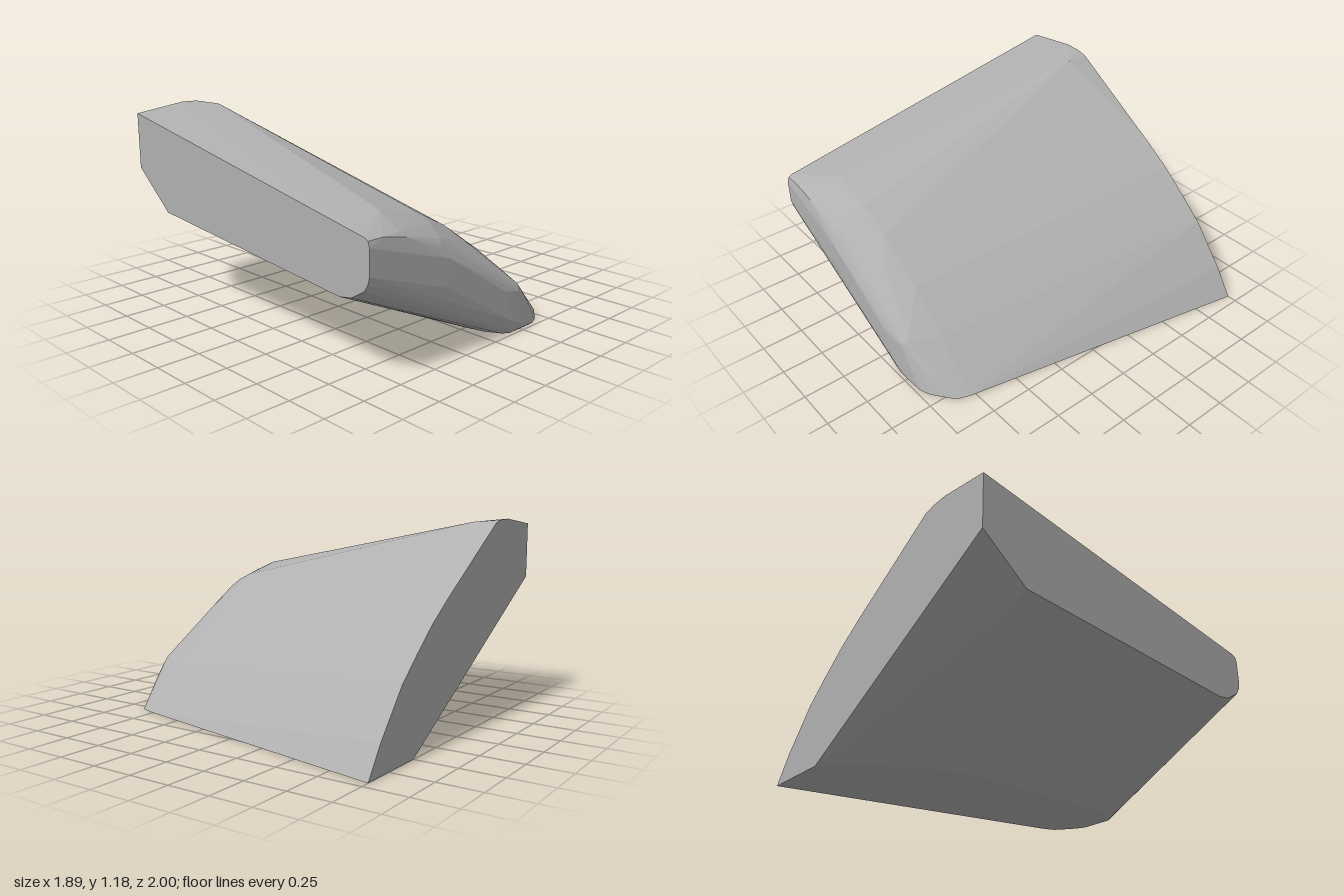
import * as THREE from 'three';
import { ConvexGeometry } from 'three/addons/geometries/ConvexGeometry.js';

// Each outline is a list of [x, y] corners lying in one z plane.
const outline = (z, corners) => corners.map(([x, y]) => new THREE.Vector3(x, y, z));

export function createModel() {
  const stone = new THREE.MeshStandardMaterial({ color: 0xb0b0b0 });
  stone.name = 'stone grey';

  const points = [
    // flat back face
    ...outline(-1, [[-0.95, 0.81], [-0.95, 1.14], [-0.63, 1.18], [-0.53, 1.176], [-0.46, 1.16],
      [0.14, 0.79], [0.32, 0.67], [0.48, 0.54], [0.63, 0.41], [0.83, 0.17], [0.945, 0], [0.5, 0]]),
    // crest of the top and the chamfer under the back edge
    ...outline(-0.86, [[-0.46, 1.164]]),
    ...outline(-0.72, [[-0.95, 0.58], [0.26, 0]]),
    ...outline(-0.3, [[0.05, 0]]),
    // widest ring behind the rounded front
    ...outline(0.78, [[-0.95, 0.45], [-0.95, 0.81], [-0.68, 0.83], [-0.4, 0.765], [-0.2, 0.66],
      [0.08, 0.47], [0.33, 0.255], [0.58, 0], [0.05, 0]]),
    ...outline(0.86, [[-0.95, 0.465], [-0.7, 0.8], [-0.4, 0.725], [-0.1, 0.56], [0.12, 0.4],
      [0.33, 0.21], [0.55, 0], [0.07, 0]]),
    // shrinking rings around the front edge
    ...outline(0.95, [[-0.95, 0.52], [-0.95, 0.783], [-0.72, 0.765], [-0.42, 0.67], [0.24, 0.27],
      [0.33, 0.16], [0.43, 0], [0.12, 0]]),
    ...outline(0.975, [[-0.95, 0.56], [-0.95, 0.77], [-0.85, 0.77], [-0.7, 0.74], [-0.44, 0.645],
      [0.22, 0.255], [0.37, 0], [0.16, 0]]),
    // nearly flat front face
    ...outline(0.985, [[-0.95, 0.6], [-0.95, 0.74], [-0.45, 0.63], [0.21, 0.24], [0.28, 0.01], [0.18, 0.01]]),
    ...outline(1, [[-0.42, 0.42], [-0.4, 0.57], [0.08, 0.27], [0.15, 0.08]]),
  ];

  const block = new THREE.Mesh(new ConvexGeometry(points), stone);
  block.name = 'stoneBlock';

  const model = new THREE.Group();
  model.name = 'rock';
  model.add(block);
  return model;
}
